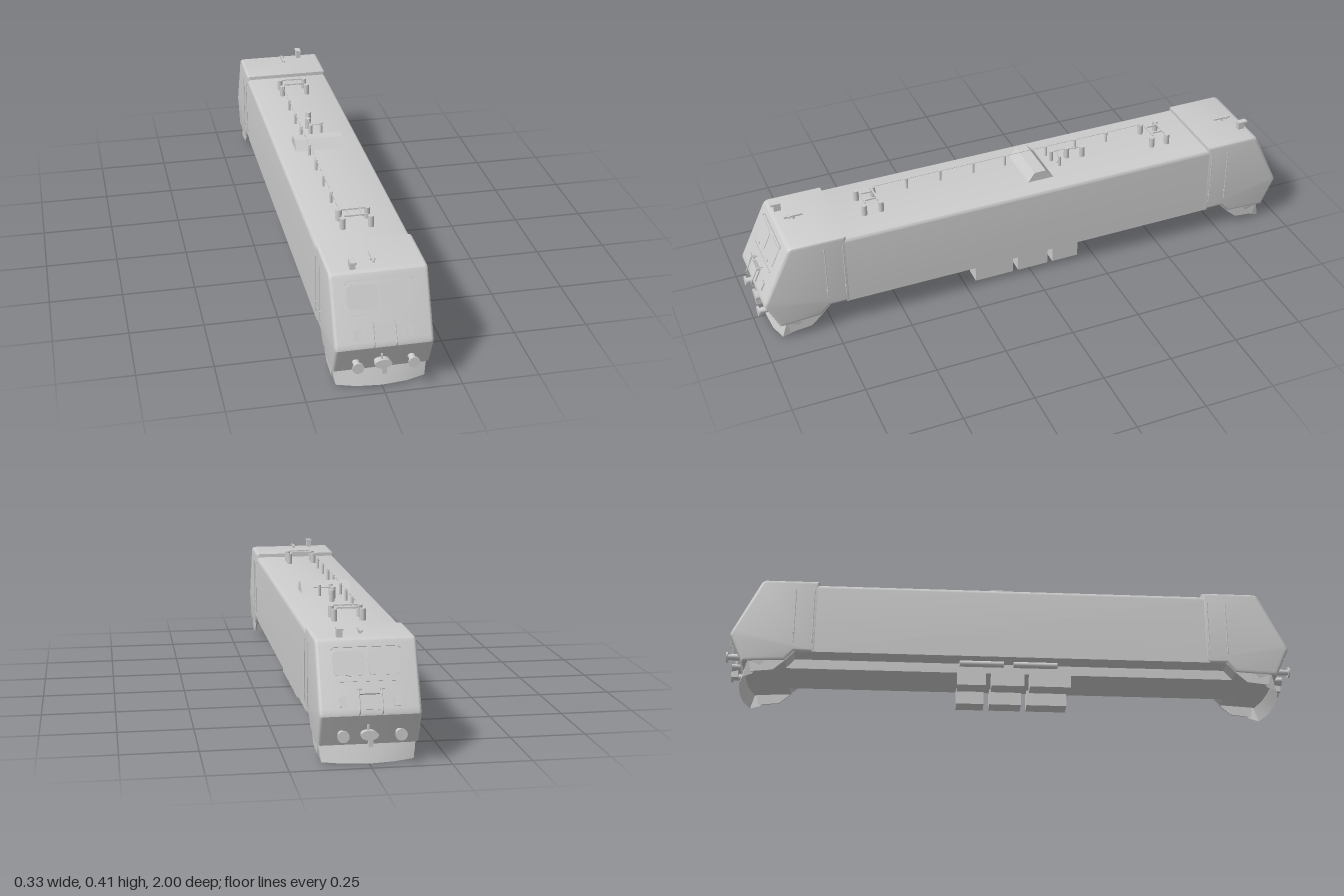
import * as THREE from 'three';
import { toCreasedNormals } from 'three/addons/utils/BufferGeometryUtils.js';

const grey = new THREE.MeshStandardMaterial({ color: 0xcccccc, side: THREE.DoubleSide });
grey.name = 'light grey';

function add(parent, name, geometry, x = 0, y = 0, z = 0) {
  const mesh = new THREE.Mesh(geometry, grey);
  mesh.name = name;
  mesh.position.set(x, y, z);
  parent.add(mesh);
  return mesh;
}
const box = (p, name, w, h, d, x, y, z) => add(p, name, new THREE.BoxGeometry(w, h, d), x, y, z);
const post = (p, name, r, y0, y1, x, z, n = 8) =>
  add(p, name, new THREE.CylinderGeometry(r, r, y1 - y0, n), x, (y0 + y1) / 2, z);
function tube(p, name, points, r) {
  const path = new THREE.CurvePath();
  const v = points.map((a) => new THREE.Vector3(...a));
  for (let i = 1; i < v.length; i++) path.add(new THREE.LineCurve3(v[i - 1], v[i]));
  return add(p, name, new THREE.TubeGeometry(path, (v.length - 1) * 4, r, 6));
}
const polygon = (pts) => new THREE.Shape(pts.map((a) => new THREE.Vector2(...a)));

// Side profile given as [z, y], extruded across x and centred, with rounded side edges
function acrossX(pts, width, bevel) {
  const g = new THREE.ExtrudeGeometry(polygon(pts), {
    depth: width - 2 * bevel, bevelEnabled: bevel > 0, bevelThickness: bevel,
    bevelSize: bevel, bevelOffset: -bevel, bevelSegments: 4,
  });
  g.translate(0, 0, bevel - width / 2).rotateY(-Math.PI / 2);
  return toCreasedNormals(g, 0.5);
}
function roundedPlate(w, h, r, d) {
  const s = new THREE.Shape();
  const x = w / 2, y = h / 2;
  s.moveTo(-x + r, -y);
  s.lineTo(x - r, -y); s.quadraticCurveTo(x, -y, x, -y + r);
  s.lineTo(x, y - r); s.quadraticCurveTo(x, y, x - r, y);
  s.lineTo(-x + r, y); s.quadraticCurveTo(-x, y, -x, y - r);
  s.lineTo(-x, -y + r); s.quadraticCurveTo(-x, -y, -x + r, -y);
  return new THREE.ExtrudeGeometry(s, { depth: d, bevelEnabled: false });
}

// Skirt under the nose, lofted from a top and a bottom outline
function ploughGeometry() {
  const top = [[-0.155, 0.86], [-0.152, 0.918], [-0.08, 0.933], [0, 0.936], [0.08, 0.933], [0.152, 0.918], [0.155, 0.86]];
  const low = [[-0.146, 0.9], [-0.143, 0.932], [-0.08, 0.95], [0, 0.955], [0.08, 0.95], [0.143, 0.932], [0.146, 0.9]];
  const pos = [], index = [];
  top.forEach(([x, z], i) => {
    const end = i === 0 || i === top.length - 1;
    pos.push(x, 0.063, z, low[i][0], end ? 0.015 : 0.004 * Math.abs(x) / 0.15, low[i][1]);
    if (i) { const a = 2 * i - 2; index.push(a, a + 1, a + 2, a + 1, a + 3, a + 2); }
  });
  const g = new THREE.BufferGeometry();
  g.setAttribute('position', new THREE.Float32BufferAttribute(pos, 3));
  g.setIndex(index);
  return toCreasedNormals(g, 0.5);
}

function createCab() {
  const cab = new THREE.Group();
  add(cab, 'cabShell', acrossX([
    [0.685, 0.1], [0.76, 0.1], [0.79, 0.066], [0.938, 0.058], [0.981, 0.152], [0.985, 0.16],
    [0.984, 0.168], [0.978, 0.18], [0.892, 0.36], [0.886, 0.37], [0.874, 0.376], [0.685, 0.376],
  ], 0.314, 0.011));

  // Side skirts and nose skirt
  for (const s of [-1, 1]) {
    add(cab, 'sideSkirt', acrossX([[0.75, 0.11], [0.79, 0.066], [0.83, 0.03], [0.905, 0.022], [0.915, 0.07], [0.915, 0.11]], 0.005, 0), s * 0.1495);
  }
  add(cab, 'noseSkirt', ploughGeometry());

  // Sloped windscreen face: local y runs up the slope, z points outward
  const slope = Math.atan2(0.18, 0.086), k = 1 / Math.sin(slope);
  const face = new THREE.Group();
  face.name = 'upperFace';
  face.position.set(0, 0.18, 0.978);
  face.rotation.x = slope - Math.PI / 2;
  cab.add(face);
  const up = (y) => (y - 0.18) * k;
  for (const x of [-0.057, 0.05]) {
    add(face, 'windscreen', roundedPlate(0.098, 0.068 * k, 0.018, 0.003), x, up(0.306), -0.001);
    box(face, 'wiperStub', 0.008, 0.005, 0.004, x, up(0.272), 0.003);
  }
  box(face, 'windscreenVisor', 0.205, 0.003, 0.005, -0.003, up(0.352), 0.002);
  for (const x of [-0.107, 0.101]) {
    box(face, 'visorEnd', 0.012, 0.003, 0.005, x, up(0.348), 0.002).rotation.z = -Math.sign(x) * 0.7;
  }
  box(face, 'wiperRail', 0.2, 0.003, 0.003, -0.003, up(0.256), 0.001);
  box(face, 'hatch', 0.058, 0.042, 0.006, -0.002, up(0.195), 0.002);
  box(face, 'hatchStep', 0.06, 0.004, 0.016, -0.002, up(0.22), 0.008);
  for (const x of [-0.083, 0.084]) add(face, 'markerLamp', roundedPlate(0.02, 0.031, 0.003, 0.005), x, up(0.199), -0.001);
  for (const x of [-0.036, 0.034]) {
    tube(face, 'frontHandrail', [[x, up(0.163), 0], [x, up(0.166), 0.018], [x, up(0.232), 0.018], [x, up(0.234), 0]], 0.002);
    box(face, 'handrailBracket', 0.014, 0.005, 0.008, x + 0.004, up(0.232), 0.014);
  }

  // Buffers and coupler on the lower face
  for (const x of [-0.086, 0.091]) {
    const shank = add(cab, 'bufferShank', new THREE.CylinderGeometry(0.01, 0.012, 0.05, 16), x, 0.1, 0.968);
    const head = add(cab, 'bufferHead', new THREE.CylinderGeometry(0.0185, 0.0185, 0.006, 24), x, 0.1, 0.996);
    shank.rotation.x = head.rotation.x = Math.PI / 2;
  }
  const coupler = add(cab, 'couplerPlate', new THREE.CylinderGeometry(0.028, 0.024, 0.03, 16), -0.004, 0.098, 0.972);
  coupler.rotation.x = Math.PI / 2;
  coupler.scale.z = 0.55;
  box(cab, 'couplerHook', 0.014, 0.026, 0.02, 0.001, 0.074, 0.975);
  box(cab, 'couplerPin', 0.005, 0.022, 0.008, -0.007, 0.118, 0.975);

  // Door handrails on both sides
  for (const s of [-1, 1]) for (const z of [0.7, 0.765]) {
    tube(cab, 'doorHandrail', [[s * 0.152, 0.345, z], [s * 0.162, 0.345, z], [s * 0.162, 0.135, z], [s * 0.152, 0.128, z]], 0.002);
    box(cab, 'handrailMount', 0.01, 0.006, 0.006, s * 0.159, 0.17, z);
  }

  // Roof horn and aerial
  box(cab, 'hornBox', 0.018, 0.032, 0.024, -0.078, 0.388, 0.858);
  box(cab, 'hornLip', 0.02, 0.006, 0.034, -0.078, 0.402, 0.864);
  post(cab, 'aerialFoot', 0.004, 0.37, 0.388, -0.008, 0.82);
  box(cab, 'aerialArm', 0.006, 0.006, 0.065, -0.008, 0.387, 0.82);
  box(cab, 'aerialCross', 0.016, 0.006, 0.006, -0.008, 0.387, 0.835);
  return cab;
}

function createPantographBase(z) {
  const g = new THREE.Group();
  g.name = 'pantographBase';
  for (const dz of [-0.03, 0.03]) {
    for (const x of [-0.048, 0.046]) post(g, 'insulator', 0.01, 0.355, 0.402, x, z + dz, 10);
    box(g, 'baseCrossbar', 0.08, 0.005, 0.005, -0.001, 0.404, z + dz * 0.75);
  }
  for (const x of [-0.022, 0.02]) box(g, 'baseRail', 0.005, 0.005, 0.05, x, 0.402, z);
  return g;
}

export function createModel() {
  const model = new THREE.Group();
  model.name = 'locomotiveBody';

  // Long body with rounded roof edges
  const w = 0.156, top = 0.363, r = 0.016, len = 1.4;
  const s = new THREE.Shape();
  s.moveTo(-w, 0.1);
  s.lineTo(w, 0.1);
  s.lineTo(w, top - r); s.quadraticCurveTo(w, top, w - r, top);
  s.lineTo(-w + r, top); s.quadraticCurveTo(-w, top, -w, top - r);
  const body = new THREE.ExtrudeGeometry(s, { depth: len, bevelEnabled: false, curveSegments: 5 });
  body.translate(0, 0, -len / 2);
  add(model, 'mainBody', toCreasedNormals(body, 0.5));

  // Central underframe with equipment boxes and air tanks along each side
  box(model, 'underframe', 0.176, 0.036, 1.62, 0, 0.083, 0);
  for (const side of [-1, 1]) {
    for (const [z0, z1] of [[0.065, 0.21], [-0.07, 0.045], [-0.19, -0.09]]) {
      box(model, 'equipmentBox', 0.06, 0.062, z1 - z0, side * 0.085, 0.039, (z0 + z1) / 2);
    }
    for (const z of [0.085, -0.105]) {
      const tank = add(model, 'airTank', new THREE.CylinderGeometry(0.011, 0.011, 0.155, 12), side * 0.112, 0.09, z);
      tank.rotation.x = Math.PI / 2;
    }
  }

  // Cabs at both ends
  const front = createCab();
  front.name = 'frontCab';
  const rear = createCab();
  rear.name = 'rearCab';
  rear.rotation.y = Math.PI;
  model.add(front, rear);

  // Roof equipment
  model.add(createPantographBase(0.555), createPantographBase(-0.54));
  add(model, 'roofHousing', acrossX([[0, 0.355], [-0.03, 0.397], [-0.072, 0.397], [-0.108, 0.355]], 0.175, 0), -0.002);
  tube(model, 'roofCable', [[-0.048, 0.402, -0.52], [-0.048, 0.402, 0.53]], 0.0013);
  for (const z of [0.4, 0.275, 0.15, 0.03, -0.13, -0.245, -0.37]) {
    post(model, 'cableInsulator', 0.005, 0.355, 0.403, -0.048, z);
  }
  for (const [x, z, rad] of [[-0.012, -0.135, 0.007], [-0.01, -0.195, 0.01], [0.002, -0.25, 0.01], [0.03, -0.15, 0.005]]) {
    post(model, 'breakerInsulator', rad, 0.355, 0.403, x, z, 10);
  }
  tube(model, 'breakerBar', [[-0.012, 0.4, -0.135], [-0.01, 0.4, -0.195], [0.002, 0.4, -0.25]], 0.002);
  tube(model, 'breakerArm', [[-0.012, 0.395, -0.155], [0.03, 0.395, -0.15], [0.048, 0.39, -0.13]], 0.002);
  return model;
}
